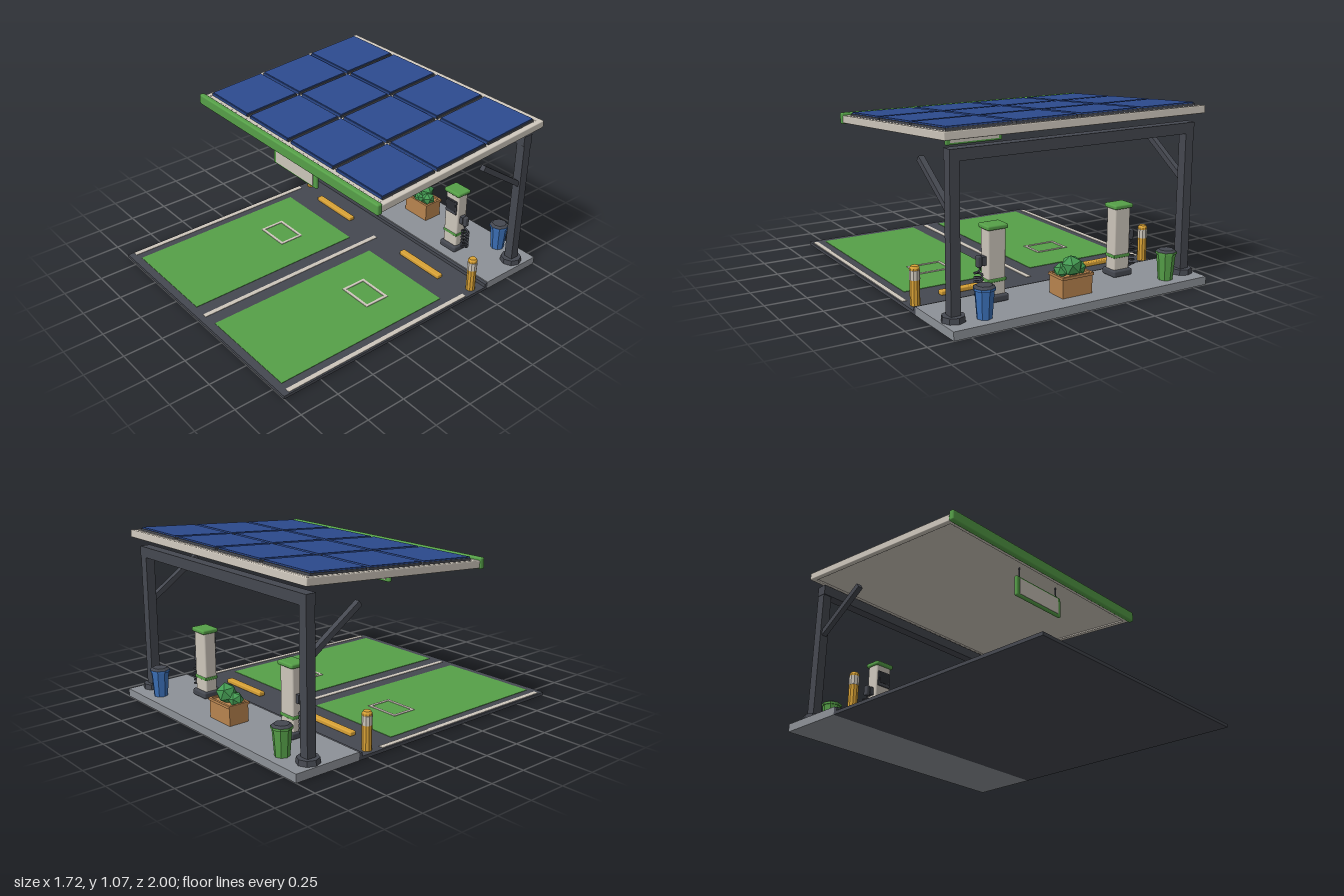
import * as THREE from 'three';
import { RoundedBoxGeometry } from 'three/addons/geometries/RoundedBoxGeometry.js';

const mat = (name, color) => {
  const m = new THREE.MeshStandardMaterial({ color });
  m.name = name;
  return m;
};

export function createModel() {
  const root = new THREE.Group();
  root.name = 'solarChargingStation';
  const charcoal = mat('charcoal', 0x454850), black = mat('black', 0x2b2d33);
  const beige = mat('warm white', 0xcdc6bb), green = mat('green', 0x56a048);
  const leaf = mat('leaf green', 0x449a52), concrete = mat('concrete', 0x8d9197);
  const solar = mat('solar blue', 0x2c4a8e), blue = mat('bin blue', 0x3b70b8);
  const gold = mat('safety yellow', 0xd9a236), wood = mat('wood', 0xb8844f);

  const add = (parent, name, geo, material, x = 0, y = 0, z = 0) => {
    const m = new THREE.Mesh(geo, material);
    m.name = name;
    m.position.set(x, y, z);
    parent.add(m);
    return m;
  };
  const box = (parent, name, material, w, h, d, x, y, z) =>
    add(parent, name, new THREE.BoxGeometry(w, h, d), material, x, y, z);
  const rounded = (parent, name, material, w, h, d, x, y, z, r) =>
    add(parent, name, new RoundedBoxGeometry(w, h, d, 2, r), material, x, y, z);
  const prism = (parent, name, material, rTop, rBottom, h, x, y, z, sides = 8) =>
    add(parent, name, new THREE.CylinderGeometry(rTop, rBottom, h, sides).toNonIndexed(), material, x, y, z)
      .geometry.computeVertexNormals();
  const group = (name, x = 0, y = 0, z = 0, parent = root) => {
    const g = new THREE.Group();
    g.name = name;
    g.position.set(x, y, z);
    parent.add(g);
    return g;
  };
  const frameGeo = (w, h, t, depth) => {
    const rect = (P, a, b) => new P([[-a, -b], [a, -b], [a, b], [-a, b]].map(p => new THREE.Vector2(...p)));
    const s = rect(THREE.Shape, w / 2, h / 2);
    s.holes.push(rect(THREE.Path, w / 2 - t, h / 2 - t));
    return new THREE.ExtrudeGeometry(s, { depth, bevelEnabled: false });
  };

  // Parking lot, kerb and platform
  box(root, 'parkingLot', charcoal, 1.7, 0.02, 1.57, 0, 0.01, 0.215);
  box(root, 'kerb', charcoal, 1.7, 0.043, 0.025, 0, 0.0215, -0.56);
  box(root, 'platform', concrete, 1.7, 0.05, 0.43, 0, 0.025, -0.785);
  for (const x of [-0.825, 0, 0.825])
    box(root, 'laneStripe', beige, 0.03, 0.004, 1.35, x, 0.021, 0.285);

  for (const s of [-1, 1]) {
    // Parking bay with painted square and wheel stop
    box(root, 'parkingBay', green, 0.66, 0.004, 1.2, s * 0.43, 0.021, 0.35);
    const mark = add(root, 'bayMark', frameGeo(0.23, 0.17, 0.018, 0.004), beige, s * 0.43, 0.0225, 0.07);
    mark.rotation.x = -Math.PI / 2;
    rounded(root, 'wheelStop', gold, 0.355, 0.027, 0.042, s * 0.43, 0.0335, -0.397, 0.007);

    // Bollard with pale band
    const bollard = group('bollard', s * 0.8, 0, -0.47);
    prism(bollard, 'bollardPost', gold, 0.029, 0.029, 0.215, 0, 0.1275, 0, 10);
    prism(bollard, 'bollardCap', gold, 0.022, 0.029, 0.012, 0, 0.241, 0, 10);
    prism(bollard, 'bollardBand', beige, 0.031, 0.031, 0.055, 0, 0.195, 0, 10);

    // Post, foot and angled brace
    box(root, 'post', charcoal, 0.058, 0.87, 0.058, s * 0.775, 0.485, -0.86);
    prism(root, 'postFoot', charcoal, 0.064, 0.068, 0.032, s * 0.775, 0.066, -0.86);
    const brace = box(root, 'brace', charcoal, 0.034, 0.034, 0.4, s * 0.775, 0.738, -0.678);
    brace.rotation.x = -0.6;

    // Litter bin: ribbed tub with dark lid
    const bin = group('litterBin', s * 0.615, 0.05, -0.907);
    const tub = s < 0 ? green : blue;
    prism(bin, 'binTub', tub, 0.056, 0.043, 0.16, 0, 0.08, 0);
    prism(bin, 'binRim', tub, 0.062, 0.062, 0.014, 0, 0.163, 0);
    prism(bin, 'binLid', charcoal, 0.045, 0.061, 0.012, 0, 0.176, 0);

    // Charging pump
    const pump = group('chargingPump', s * 0.43, 0, -0.69);
    rounded(pump, 'pumpBase', charcoal, 0.135, 0.042, 0.12, 0, 0.071, 0, 0.012);
    rounded(pump, 'pumpBody', beige, 0.112, 0.385, 0.082, 0, 0.275, 0, 0.01);
    rounded(pump, 'pumpBand', green, 0.118, 0.02, 0.088, 0, 0.173, 0, 0.005);
    rounded(pump, 'pumpCap', green, 0.132, 0.027, 0.108, 0, 0.473, 0, 0.01);
    box(pump, 'screenBezel', charcoal, 0.09, 0.096, 0.012, 0, 0.373, 0.043);
    box(pump, 'screen', black, 0.074, 0.07, 0.004, 0, 0.38, 0.049);

    // Plug, holster and coiled cable on the outer side
    box(pump, 'holster', charcoal, 0.03, 0.05, 0.04, s * 0.065, 0.285, 0);
    rounded(pump, 'plug', charcoal, 0.028, 0.066, 0.034, s * 0.092, 0.283, 0, 0.008);
    const pts = [[0.092, 0.26, 0], [0.085, 0.235, 0]].map(p => new THREE.Vector3(s * p[0], p[1], p[2]));
    for (let i = 0; i <= 60; i++) {
      const a = i / 60 * Math.PI * 10;
      pts.push(new THREE.Vector3(s * (0.095 + 0.022 * Math.cos(a)), 0.22 - 0.12 * i / 60, 0.022 * Math.sin(a)));
    }
    pts.push(new THREE.Vector3(s * 0.09, 0.09, 0), new THREE.Vector3(s * 0.06, 0.08, 0));
    add(pump, 'coiledCable', new THREE.TubeGeometry(new THREE.CatmullRomCurve3(pts), 160, 0.006, 6), charcoal);
  }
  box(root, 'crossBeam', charcoal, 1.61, 0.064, 0.066, 0, 0.929, -0.858);

  // Planter with faceted shrubs
  const planter = group('planter', 0, 0.05, -0.82);
  box(planter, 'planterBox', wood, 0.2, 0.11, 0.13, 0, 0.055, 0);
  add(planter, 'planterRim', frameGeo(0.212, 0.142, 0.014, 0.016), wood, 0, 0.106, 0).rotation.x = -Math.PI / 2;
  for (const [x, y, z, r] of [[-0.058, 0.135, 0.01, 0.046], [0.004, 0.162, -0.01, 0.064],
    [0.06, 0.138, 0.012, 0.046], [0.005, 0.132, 0.03, 0.042]]) {
    const shrub = add(planter, 'shrub', new THREE.IcosahedronGeometry(r, 0), leaf, x, y, z);
    shrub.rotation.set(x * 9, x * 20 + 0.4, 0.3);
  }

  // Tilted canopy
  const canopy = group('canopy', 0, 0.99, -0.2875);
  canopy.rotation.x = 0.073;
  box(canopy, 'roofSlab', beige, 1.68, 0.034, 1.26, 0, 0.003, 0);
  for (const s of [-1, 1]) {
    rounded(canopy, 'sideRail', beige, 0.034, 0.046, 1.278, s * 0.836, 0, 0, 0.006);
    rounded(canopy, 'endRail', beige, 1.7, 0.046, 0.034, 0, 0, s * 0.622, 0.006);
  }

  // Solar panels: four columns by three rows
  for (let c = 0; c < 4; c++) for (let r = 0; r < 3; r++) {
    const x = (c - 1.5) * 0.414, z = (r - 1) * 0.399;
    box(canopy, 'panelFrame', charcoal, 0.39, 0.014, 0.38, x, 0.027, z);
    box(canopy, 'solarPanel', solar, 0.38, 0.016, 0.37, x, 0.034, z);
    box(canopy, 'panelFrontFace', solar, 0.376, 0.018, 0.004, x, 0.031, z + 0.19);
  }

  // Front fascia
  rounded(root, 'fascia', green, 1.72, 0.068, 0.036, 0, 0.949, 0.357, 0.01);

  // Hanging blank sign
  const sign = group('hangingSign', 0, 0.803, 0.26);
  rounded(sign, 'signFrame', green, 0.42, 0.136, 0.024, 0, 0, 0, 0.01);
  for (const s of [-1, 1]) {
    box(sign, 'signFace', beige, 0.36, 0.106, 0.004, 0, 0, s * 0.0125);
    prism(sign, 'signHanger', charcoal, 0.005, 0.005, 0.09, s * 0.172, 0.108, 0, 6);
  }
  return root;
}
